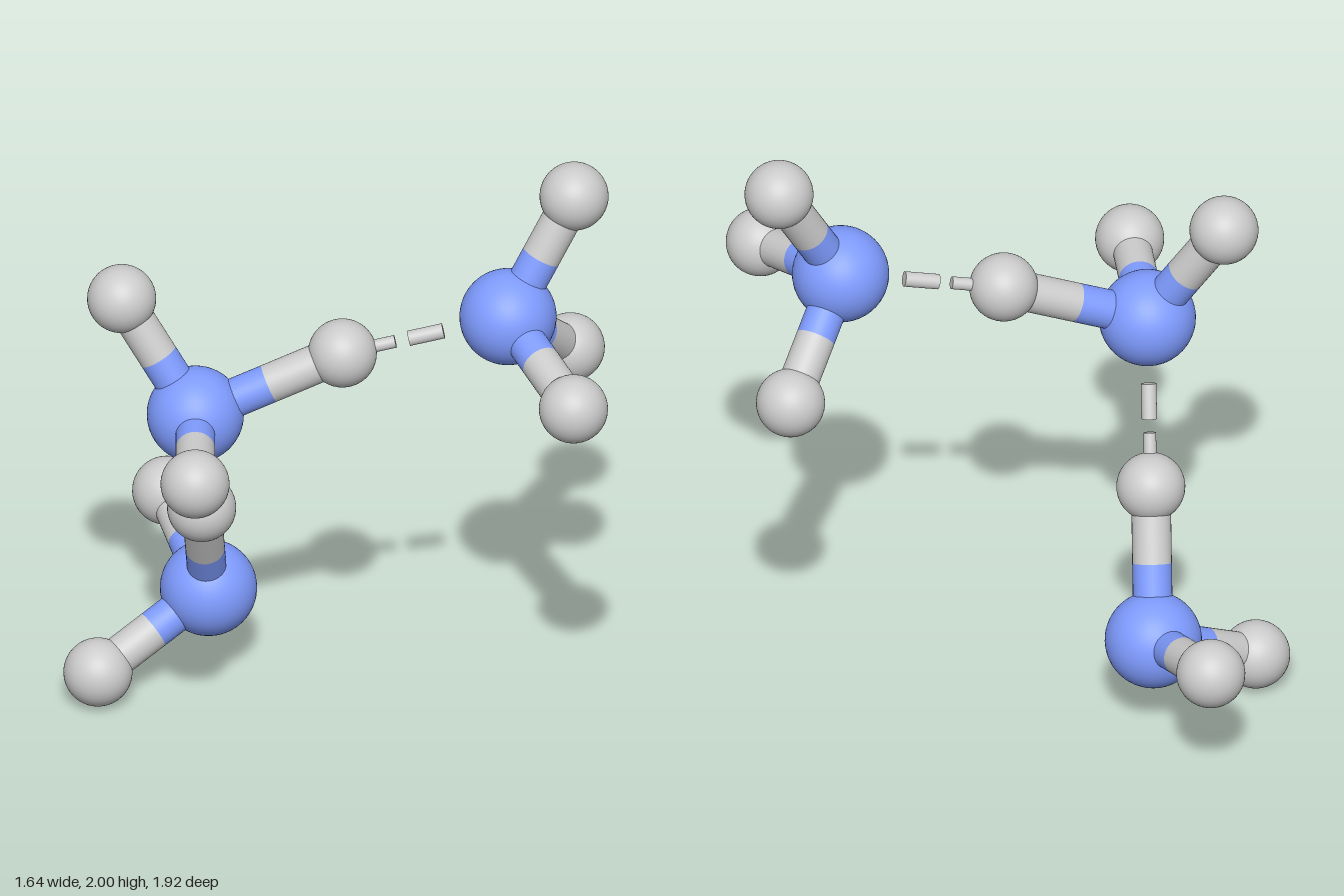
import * as THREE from 'three';

const BLUE = new THREE.MeshStandardMaterial({ color: 0x7f9cff });
const GREY = new THREE.MeshStandardMaterial({ color: 0xcccccc });
const CENTRE_R = 0.152, OUTER_R = 0.108, BOND_R = 0.062;

// Each molecule: one central atom and its three outer atoms
const MOLECULES = [
  { name: 'lowerMolecule', centre: [-0.1, 0.31, -0.467],
    outer: [[-0.263, 0.732, -0.304], [-0.48, 0.108, -0.55], [0.05, 0.433, -0.853]] },
  { name: 'middleMolecule', centre: [-0.43, 1.208, -0.133],
    outer: [[-0.042, 1.398, 0.119], [-0.552, 1.575, -0.347], [-0.713, 1.212, 0.207]] },
  { name: 'upperMolecule', centre: [0.376, 1.512, 0.426],
    outer: [[0.596, 1.892, 0.484], [0.71, 1.235, 0.328], [0.292, 1.398, 0.848]] },
];

const vec = (p) => new THREE.Vector3(...p);

function atom(name, position, radius, material) {
  const mesh = new THREE.Mesh(new THREE.SphereGeometry(radius, 48, 32), material);
  mesh.name = name;
  mesh.position.copy(position);
  return mesh;
}

// Cylinder covering the stretch t0..t1 of the line from a to b
function rod(name, a, b, t0, t1, r0, r1, material) {
  const length = a.distanceTo(b) * (t1 - t0);
  const mesh = new THREE.Mesh(new THREE.CylinderGeometry(r1, r0, length, 32), material);
  mesh.name = name;
  mesh.position.lerpVectors(a, b, (t0 + t1) / 2);
  mesh.quaternion.setFromUnitVectors(new THREE.Vector3(0, 1, 0), b.clone().sub(a).normalize());
  return mesh;
}

export function createModel() {
  const model = new THREE.Group();
  model.name = 'moleculeCluster';

  for (const { name, centre, outer } of MOLECULES) {
    const group = new THREE.Group();
    group.name = name;
    const c = vec(centre);
    group.add(atom('centralAtom', c, CENTRE_R, BLUE));
    for (const p of outer) {
      const h = vec(p);
      // Bond: blue half at the centre, grey half at the outer atom
      group.add(
        atom('outerAtom', h, OUTER_R, GREY),
        rod('innerBond', c, h, 0, 0.5, BOND_R, BOND_R, BLUE),
        rod('outerBond', c, h, 0.5, 1, BOND_R, BOND_R, GREY),
      );
    }
    model.add(group);
  }

  // Dashed links from an outer atom to the next molecule's centre
  for (let i = 0; i < 2; i++) {
    const from = vec(MOLECULES[i].outer[0]);
    const to = vec(MOLECULES[i + 1].centre);
    const link = new THREE.Group();
    link.name = 'dashedLink';
    link.add(
      rod('nearDash', from, to, 0.12, 0.32, 0.02, 0.02, GREY),
      rod('farDash', from, to, 0.4, 0.61, 0.024, 0.024, GREY),
    );
    model.add(link);
  }
  return model;
}
